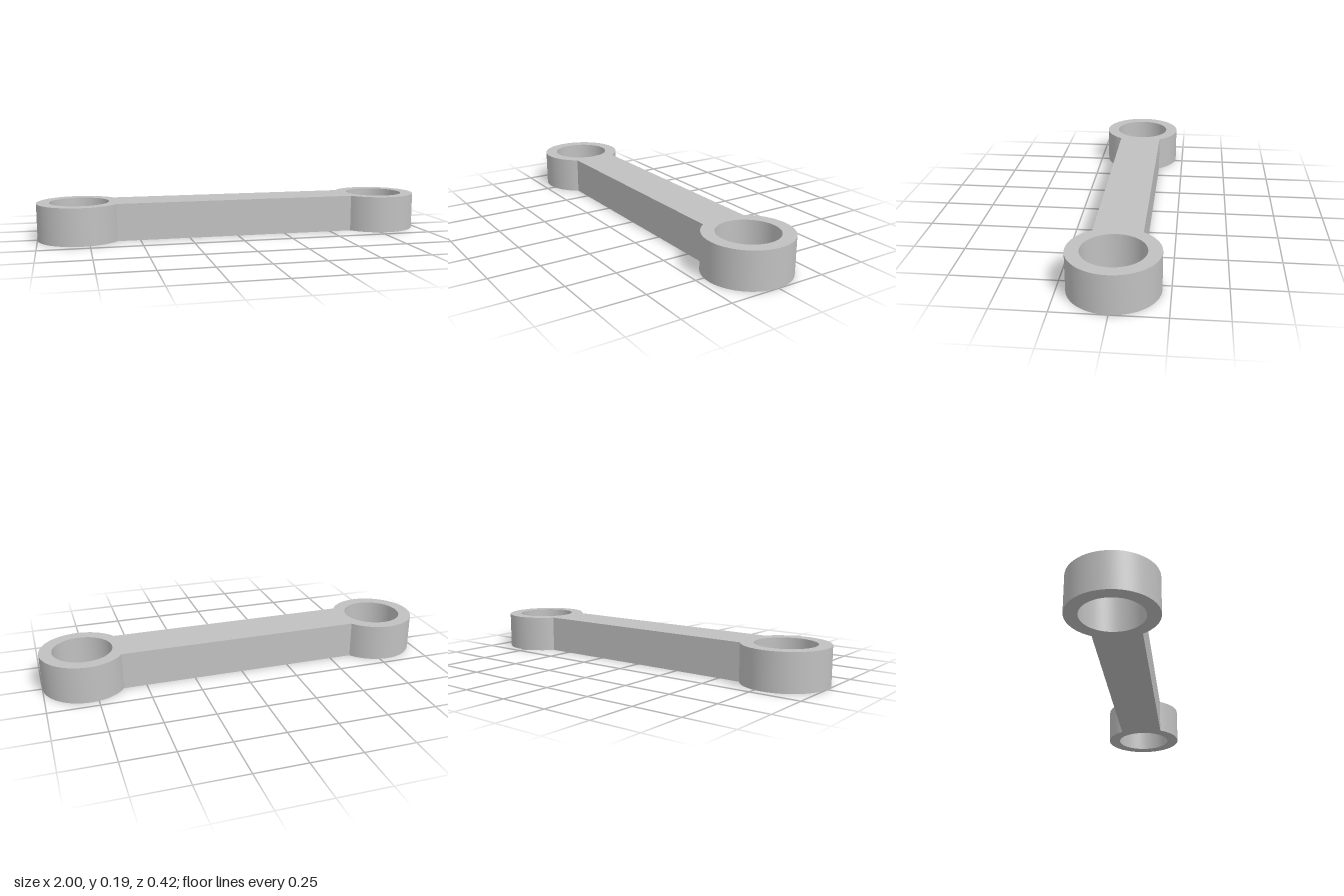
import * as THREE from 'three';
import { toCreasedNormals } from 'three/addons/utils/BufferGeometryUtils.js';

const EYE_X = 0.79, EYE_R = 0.21, HOLE_R = 0.147;
const BAR_HALF = 0.115, HEIGHT = 0.186;

export function createModel() {
  const group = new THREE.Group();
  group.name = 'connectingLink';
  const steel = new THREE.MeshStandardMaterial({ color: 0xc0c0c0 });
  steel.name = 'steelGrey';

  // Outline: two round eyes joined by a straight bar
  const a = Math.asin(BAR_HALF / EYE_R);
  const outline = new THREE.Shape();
  outline.absarc(EYE_X, 0, EYE_R, -Math.PI + a, Math.PI - a, false);
  outline.absarc(-EYE_X, 0, EYE_R, a, Math.PI * 2 - a, false);
  outline.closePath();

  // Bore through each eye
  for (const side of [-1, 1]) {
    const bore = new THREE.Path();
    bore.absarc(side * EYE_X, 0, HOLE_R, 0, Math.PI * 2, true);
    outline.holes.push(bore);
  }

  // Extrude upwards, with smooth round walls and sharp edges
  const solid = new THREE.ExtrudeGeometry(outline, {
    depth: HEIGHT, bevelEnabled: false, curveSegments: 32,
  });
  solid.rotateX(-Math.PI / 2);
  const link = new THREE.Mesh(toCreasedNormals(solid, 0.5), steel);
  link.name = 'linkBody';
  group.add(link);
  return group;
}
